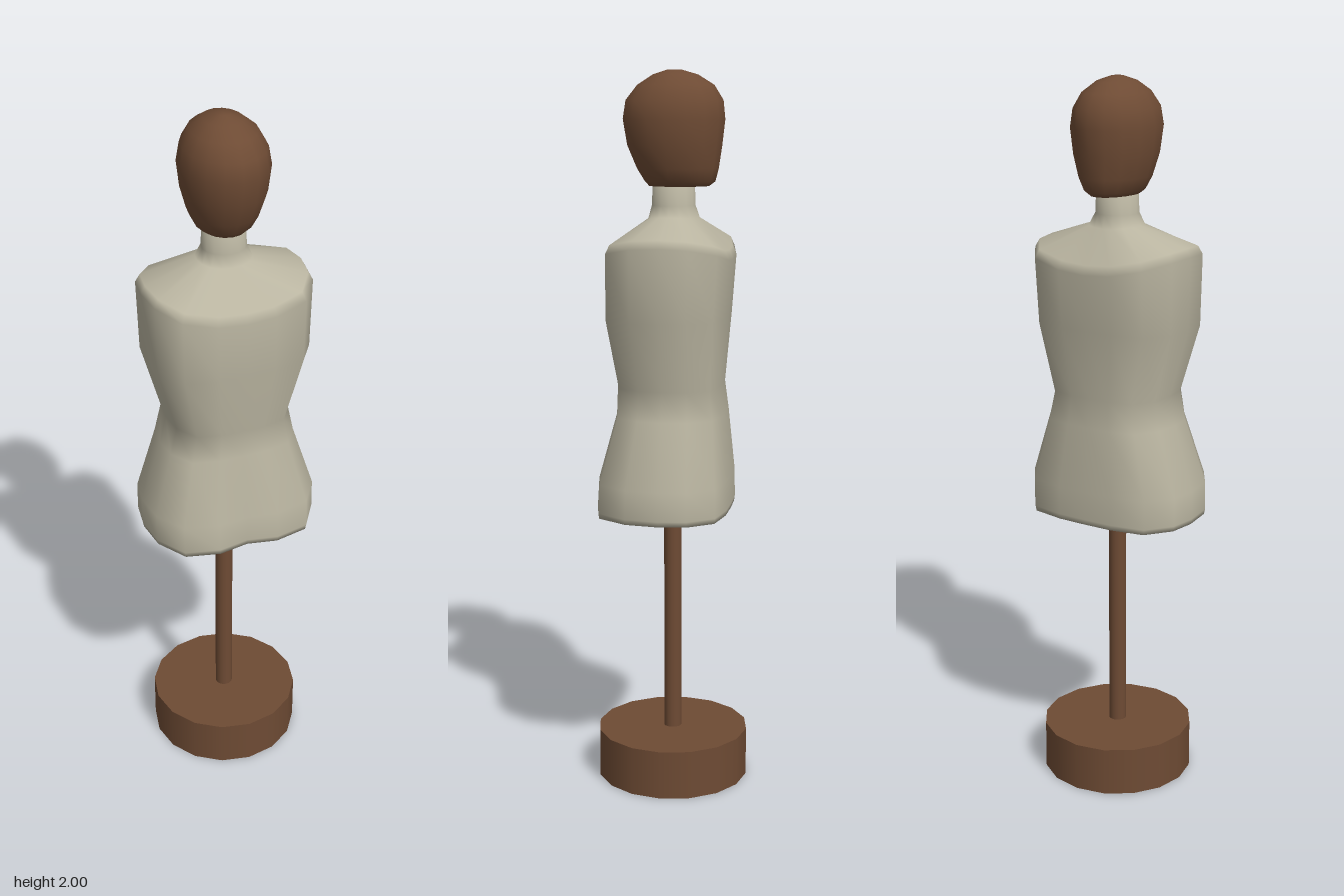
import * as THREE from 'three';

const SIDES = 16;

// Smooth closed skin over rings [y, halfWidth, frontZ, backZ, boxiness, sideLift, frontDent]
function loft(rings) {
  const pos = [], index = [];
  // Quarter outline of a rounded box, from the front centre to the side
  const bx = [0, 0.35, 0.74, 0.955, 1], bz = [1, 0.99, 0.88, 0.46, 0];
  for (const [y, w, front, back, box = 0, lift = 0, dent = 0] of rings) {
    for (let i = 0; i < SIDES; i++) {
      const a = (i / SIDES) * Math.PI * 2;
      const q = i % 8 <= 4 ? i % 8 : 8 - (i % 8);
      const sx = i < 8 ? 1 : -1;
      const sz = i <= 4 || i >= 12 ? 1 : -1;
      const nx = THREE.MathUtils.lerp(Math.sin(a), sx * bx[q], box);
      const nz = THREE.MathUtils.lerp(Math.cos(a), sz * bz[q], box);
      const z = (nz > 0 ? front : -back) * nz - (i === 0 ? dent : 0);
      pos.push(nx * w, y + lift * nx * nx, z);
    }
  }
  const last = (rings.length - 1) * SIDES;
  const bottom = pos.length / 3, top = bottom + 1;
  const r0 = rings[0], r1 = rings[rings.length - 1];
  pos.push(0, r0[0], (r0[2] + r0[3]) / 2, 0, r1[0], (r1[2] + r1[3]) / 2);
  for (let i = 0; i < SIDES; i++) {
    const j = (i + 1) % SIDES;
    for (let k = 0; k < last; k += SIDES) {
      const a = k + i, b = k + j, c = a + SIDES, d = b + SIDES;
      index.push(a, b, c, b, d, c);
    }
    index.push(bottom, j, i, top, last + i, last + j);
  }
  const g = new THREE.BufferGeometry();
  g.setAttribute('position', new THREE.Float32BufferAttribute(pos, 3));
  g.setIndex(index);
  g.computeVertexNormals();
  return g;
}

export function createModel() {
  const model = new THREE.Group();
  model.name = 'dressForm';
  const wood = new THREE.MeshStandardMaterial({ color: 0x6e4b34 });
  wood.name = 'brown wood';
  const linen = new THREE.MeshStandardMaterial({ color: 0xb9b4a0 });
  linen.name = 'pale linen';

  const add = (name, geometry, material, y = 0) => {
    const mesh = new THREE.Mesh(geometry, material);
    mesh.name = name;
    mesh.position.y = y;
    model.add(mesh);
  };

  // Round stand and pole
  add('base', new THREE.CylinderGeometry(0.215, 0.215, 0.138, SIDES), wood, 0.069);
  add('pole', new THREE.CylinderGeometry(0.025, 0.025, 0.7, SIDES), wood, 0.47);

  // Torso from hem to neck
  add('torso', loft([
    [0.795, 0.242, 0.198, -0.165, 1, 0, 0.018],
    [0.81, 0.245, 0.2, -0.167, 1, 0, 0.018],
    [0.89, 0.245, 0.195, -0.166, 1, 0, 0.01],
    [1.07, 0.188, 0.147, -0.15, 1],
    [1.15, 0.17, 0.145, -0.14, 1],
    [1.34, 0.225, 0.175, -0.155, 1],
    [1.495, 0.23, 0.175, -0.167, 1, 0.045],
    [1.52, 0.218, 0.163, -0.157, 1, 0.042],
    [1.605, 0.075, 0.066, -0.074, 0.4, 0.005],
    [1.64, 0.06, 0.058, -0.063],
    [1.72, 0.057, 0.055, -0.06],
  ]), linen);

  // Plain egg-shaped head
  add('head', loft([
    [1.692, 0.058, 0.066, -0.1],
    [1.705, 0.075, 0.078, -0.117],
    [1.74, 0.093, 0.1, -0.126],
    [1.8, 0.11, 0.126, -0.135],
    [1.87, 0.118, 0.138, -0.143],
    [1.92, 0.109, 0.13, -0.138],
    [1.96, 0.086, 0.098, -0.113],
    [1.987, 0.052, 0.056, -0.069],
    [2.0, 0.016, 0.016, -0.024],
  ]), wood);

  return model;
}
